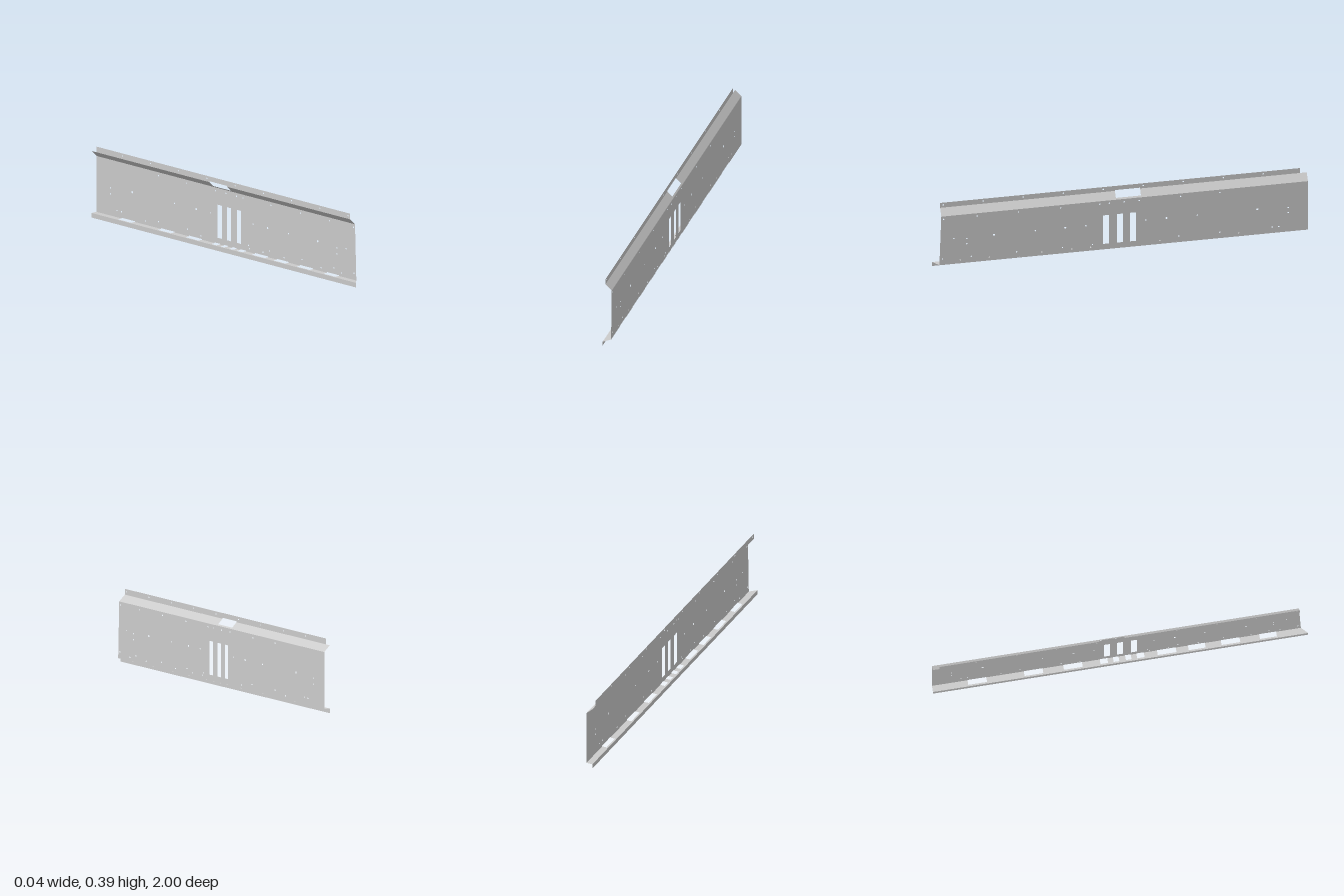
import * as THREE from 'three';

const material = new THREE.MeshStandardMaterial({ color: 0xcccccc, side: THREE.DoubleSide, flatShading: true });

// Fold lines of the sheet, as [x, y] in cross-section
const FOLDS = [[-0.018, 0], [-0.018, 0.025], [0.017, 0.025], [0.017, 0.329], [-0.018, 0.362], [-0.018, 0.393]];

// Outlines are given as [z, v]; v is the distance up the strip from its lower fold
const toPoints = (list) => list.map(([z, v]) => new THREE.Vector2(-z, v));
const rect = (z0, z1, v0, v1) => [[z0, v0], [z1, v0], [z1, v1], [z0, v1]];

function circle(z, v, r) {
  const pts = [];
  for (let i = 0; i < 10; i++) {
    const a = (i / 10) * Math.PI * 2;
    pts.push([z + Math.cos(a) * r, v + Math.sin(a) * r]);
  }
  return pts;
}

// A flat strip of sheet lying between fold i and fold i + 1
function strip(name, i, outline, holes = []) {
  const shape = new THREE.Shape(toPoints(outline));
  for (const h of holes) shape.holes.push(new THREE.Path(toPoints(h)));
  const geo = new THREE.ShapeGeometry(shape);
  const [x0, y0] = FOLDS[i];
  const [x1, y1] = FOLDS[i + 1];
  const len = Math.hypot(x1 - x0, y1 - y0);
  const p = geo.attributes.position;
  for (let k = 0; k < p.count; k++) {
    const t = p.getY(k) / len;
    p.setXYZ(k, x0 + (x1 - x0) * t, y0 + (y1 - y0) * t, p.getX(k));
  }
  // shape x holds -z, so it becomes world z after a sign change
  for (let k = 0; k < p.count; k++) p.setZ(k, -p.getZ(k));
  geo.computeVertexNormals();
  const mesh = new THREE.Mesh(geo, material);
  mesh.name = name;
  return mesh;
}

export function createModel() {
  const group = new THREE.Group();
  group.name = 'foldedSheetPanel';

  // Openings cut across the lower fold: [centre z, width]
  const cutouts = [
    [0.79, 0.09], [0.59, 0.1], [0.41, 0.09], [0.25, 0.1], [0.11, 0.04], [0.045, 0.03],
    [-0.02, 0.03], [-0.085, 0.04], [-0.25, 0.1], [-0.46, 0.1], [-0.76, 0.1],
  ];
  const notches = (v, depth) => cutouts.flatMap(([z, w]) => [
    [z + w / 2, v], [z + w / 2, v + depth], [z - w / 2, v + depth], [z - w / 2, v],
  ]);

  // Bottom flange and the ledge above it
  group.add(strip('bottomFlange', 0, rect(1, -1, 0, 0.025)));
  group.add(strip('ledge', 1, [[-1, 0], [1, 0], [0.967, 0.035], ...notches(0.035, -0.026), [-1, 0.035]]));

  // Main web with three tall slots and rows of fixing holes
  const slots = [0.078, 0.003, -0.067].map((z) => rect(z + 0.016, z - 0.016, 0.033, 0.213));
  const rows = [
    [0.286, 0.004, [0.945, 0.765, 0.545, 0.32, 0.11, 0.06, -0.02, -0.1, -0.32, -0.53]],
    [0.158, 0.004, [0.89, 0.455, 0.185, -0.135, -0.41]],
    [0.158, 0.006, [0.675, 0.295, -0.245, -0.73]],
    [0.15, 0.004, [0.82, -0.895]],
    [0.118, 0.004, [0.82, -0.895]],
    [0.036, 0.004, [0.95, 0.797, 0.555, 0.31, 0.15, -0.31, -0.53, -0.81, -0.845]],
    [0.02, 0.004, [0.855, 0.7, 0.42, 0.26, 0.16, -0.21, -0.63]],
  ];
  const holes = rows.flatMap(([v, r, zs]) => zs.map((z) => circle(z, v, r)));
  group.add(strip('web', 2,
    [[-1, 0.304], [0.957, 0.304], [0.967, 0], ...notches(0, 0.004), [-1, 0]],
    [...slots, ...holes]));

  // Sloped shoulder, open at the top between z = 0.024 and z = -0.11
  group.add(strip('shoulder', 3, [
    [0.957, 0], [-1, 0], [-1, 0.0481], [-0.11, 0.0481], [-0.11, 0.01],
    [0.024, 0.01], [0.024, 0.0481], [0.957, 0.0481],
  ]));

  // Upper flange, nicked above the shoulder opening
  group.add(strip('topFlange', 4, [
    [0.957, 0], [0.024, 0], [0.024, 0.005], [-0.11, 0.005], [-0.11, 0], [-0.965, 0], [-0.965, 0.031], [0.957, 0.031],
  ], Array.from({ length: 9 }, (_, i) => circle(0.94 - i * 0.2135, 0.017, 0.004))));

  return group;
}
